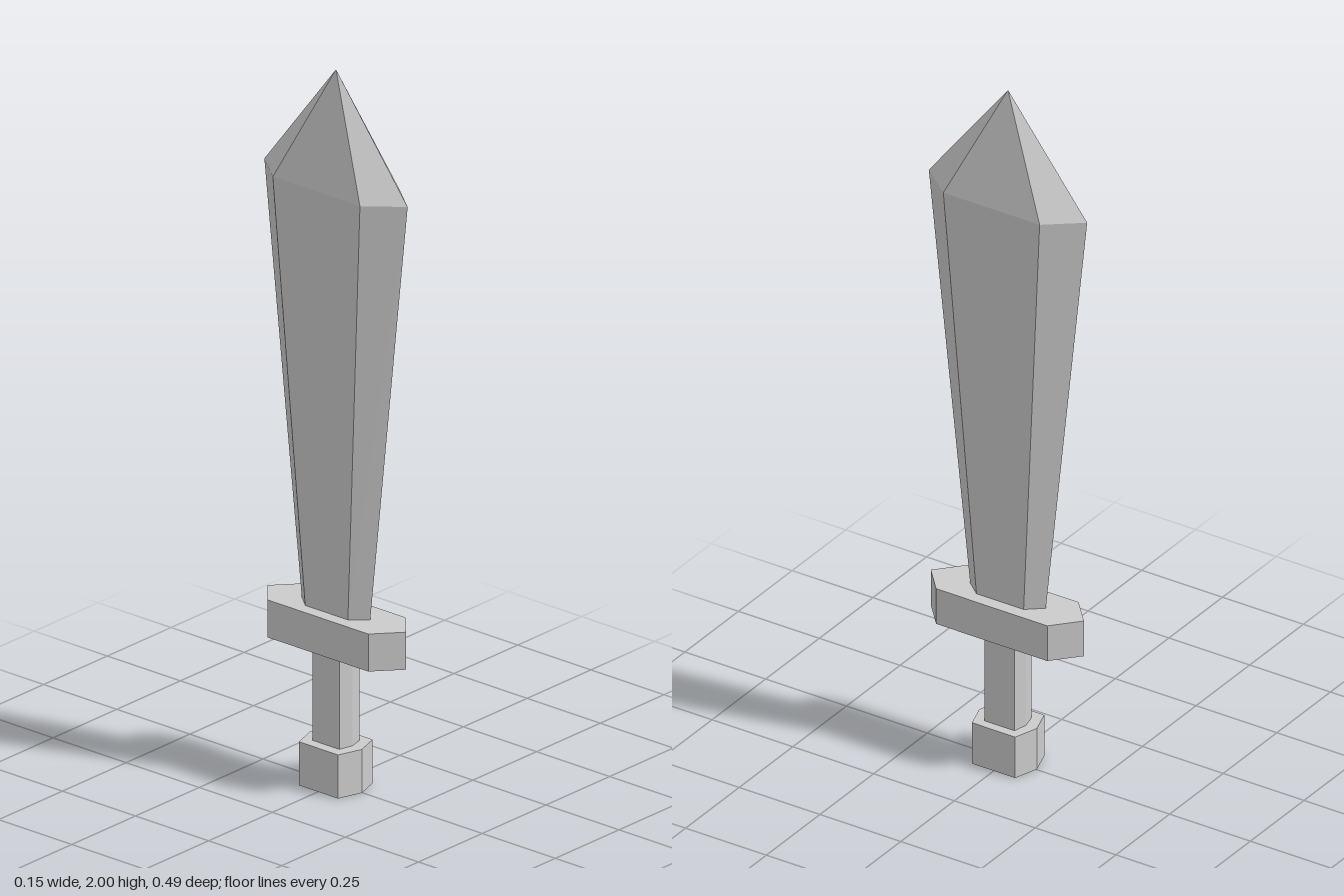
import * as THREE from 'three';

const material = new THREE.MeshStandardMaterial({ color: 0xcccccc, flatShading: true });

// Six-sided prism or point; a section is [half width x, shoulder z, tip z], null is an apex.
function hexPart(name, y0, y1, bottom, top, open = false, offsetX = 0, offsetZ = 0) {
  const geometry = new THREE.CylinderGeometry(top ? 1 : 0, 1, 1, 6, 1, open);
  const p = geometry.attributes.position;
  for (let i = 0; i < p.count; i++) {
    const upper = p.getY(i) > 0;
    const [halfX, shoulder, tip] = (upper ? top : bottom) ?? [0, 0, 0];
    const x = p.getX(i) / Math.sin(Math.PI / 3);
    const z = p.getZ(i);
    const reach = Math.abs(z) > 0.75 ? tip : shoulder;
    p.setXYZ(i, x * halfX + offsetX, upper ? y1 : y0, Math.sign(z) * reach + offsetZ);
  }
  const flat = geometry.toNonIndexed();
  flat.computeVertexNormals();
  const mesh = new THREE.Mesh(flat, material);
  mesh.name = name;
  return mesh;
}

export function createModel() {
  const model = new THREE.Group();
  model.name = 'sword';

  const bladeBase = [0.037, 0.073, 0.117];
  const bladeShoulder = [0.077, 0.149, 0.245];
  const guard = [0.073, 0.172, 0.237];
  const grip = [0.04, 0.046, 0.056];
  const pommel = [0.068, 0.067, 0.089];

  model.add(
    hexPart('pommel', 0, 0.122, pommel, pommel, false, -0.002, 0.001),
    hexPart('grip', 0.122, 0.386, grip, grip, true),
    hexPart('guard', 0.386, 0.491, guard, guard, false, 0, 0.002),
    // The blade widens upwards, then closes to a point.
    hexPart('blade', 0.491, 1.683, bladeBase, bladeShoulder, true),
    hexPart('bladeTip', 1.683, 2, bladeShoulder, null, true),
  );
  return model;
}
